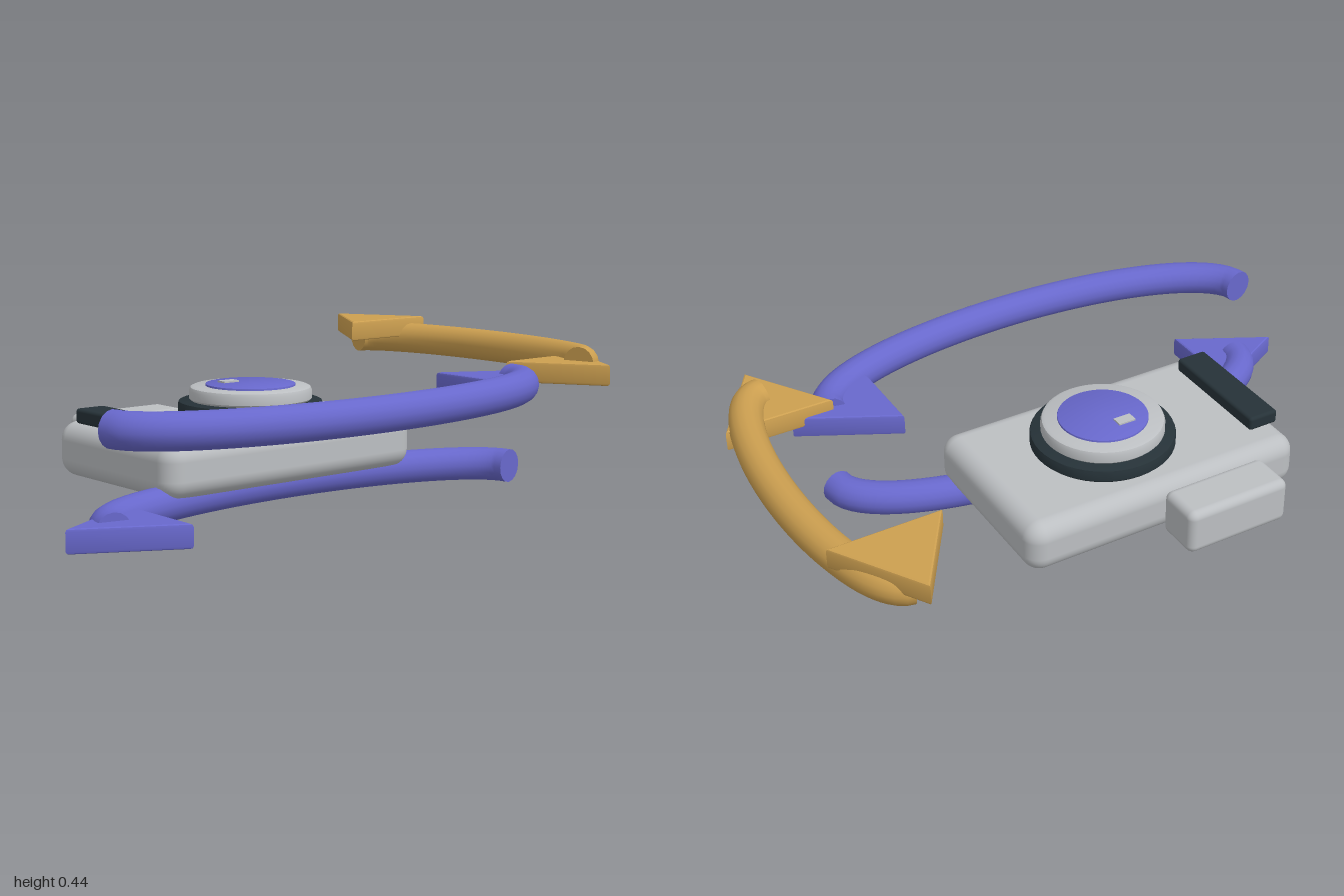
import * as THREE from 'three';
import { RoundedBoxGeometry } from 'three/addons/geometries/RoundedBoxGeometry.js';
import { toCreasedNormals } from 'three/addons/utils/BufferGeometryUtils.js';

const material = (name, color) => {
  const m = new THREE.MeshStandardMaterial({ color });
  m.name = name;
  return m;
};

export function createModel() {
  const silver = material('silver grey', 0xbcbfc2);
  const dark = material('dark slate', 0x263238);
  const violet = material('violet', 0x6868cc);
  const gold = material('gold', 0xcc9f50);
  const model = new THREE.Group();
  model.name = 'cameraWithRotationArrows';

  const add = (name, geometry, mat, parent = model) => {
    const mesh = new THREE.Mesh(geometry, mat);
    mesh.name = name;
    parent.add(mesh);
    return mesh;
  };

  // Rounded box given by its extents on each axis
  const box = (name, [x0, x1], [y0, y1], [z0, z1], radius, mat) =>
    add(name, new RoundedBoxGeometry(x1 - x0, y1 - y0, z1 - z0, 5, radius), mat)
      .position.set((x0 + x1) / 2, (y0 + y1) / 2, (z0 + z1) / 2);

  // Camera lying on its back
  box('cameraBody', [-0.58, 0.35], [0.065, 0.23], [-0.37, 0.21], 0.055, silver);
  box('viewfinderHousing', [-0.435, -0.09], [0.075, 0.22], [-0.52, -0.372], 0.025, silver);
  box('gripStrip', [-0.57, -0.47], [0.232, 0.277], [-0.27, 0.13], 0.01, dark);

  // Lens, stacked from bevelled discs
  const lens = new THREE.Group();
  lens.name = 'lens';
  lens.position.set(-0.06, 0, -0.083);
  model.add(lens);
  const disc = (name, r, y0, y1, bevel, mat) => {
    const profile = [
      [0, y0], [r - bevel, y0], [r, y0 + bevel], [r, y1 - bevel],
      [r - bevel * 0.3, y1 - bevel * 0.3], [r - bevel, y1], [0, y1],
    ].map(([x, y]) => new THREE.Vector2(x, y));
    add(name, toCreasedNormals(new THREE.LatheGeometry(profile, 48), 0.6), mat, lens);
  };
  disc('lensOuterRing', 0.22, 0.234, 0.278, 0.008, dark);
  disc('lensBarrel', 0.187, 0.27, 0.322, 0.014, silver);
  disc('lensGlass', 0.137, 0.32, 0.328, 0.002, violet);
  const glint = add('lensGlint', new THREE.BoxGeometry(0.056, 0.006, 0.034), silver, lens);
  glint.position.set(-0.04, 0.33, -0.058);

  // Half-ellipse tube in a horizontal plane with closed ends
  const arc = (name, [cx, cy, cz], rx, rz, start, mat, parent) => {
    const points = [];
    for (let i = 0; i <= 24; i++) {
      const a = start + (Math.PI * i) / 24;
      points.push(new THREE.Vector3(cx + rx * Math.cos(a), cy, cz + rz * Math.sin(a)));
    }
    const curve = new THREE.CatmullRomCurve3(points);
    const radius = 0.052;
    add(name, new THREE.TubeGeometry(curve, 64, radius, 16), mat, parent);
    for (const t of [0, 1]) {
      const cap = add(name + 'Cap', new THREE.CircleGeometry(radius, 16), mat, parent);
      const outward = curve.getTangent(t).multiplyScalar(t ? 1 : -1);
      cap.position.copy(curve.getPoint(t));
      cap.quaternion.setFromUnitVectors(new THREE.Vector3(0, 0, 1), outward);
    }
  };

  // Flat triangular arrowhead; corners are [x, z] pairs
  const head = (name, corners, y0, y1, mat, parent) => {
    const shape = new THREE.Shape(corners.map(([x, z]) => new THREE.Vector2(x, z)));
    const bevel = 0.008;
    const geometry = new THREE.ExtrudeGeometry(shape, {
      depth: y1 - y0 - 2 * bevel, bevelEnabled: true, bevelThickness: bevel,
      bevelSize: bevel, bevelOffset: -bevel, bevelSegments: 2,
    });
    geometry.rotateX(Math.PI / 2);
    geometry.translate(0, y1 - bevel, 0);
    add(name, toCreasedNormals(geometry, 0.5), mat, parent);
  };

  const arrow = (name) => {
    const group = new THREE.Group();
    group.name = name;
    model.add(group);
    return group;
  };

  // Upper violet arrow sweeps round the front, ending on the left
  const upper = arrow('upperArrow');
  arc('upperArrowShaft', [-0.11, 0.322, 0.345], 0.742, 0.255, 0, violet, upper);
  head('upperArrowHead', [[0.755, 0.345], [0.462, 0.5], [0.462, 0.19]], 0.278, 0.345, violet, upper);

  // Lower violet arrow passes under the body, ending on the right
  const lower = arrow('lowerArrow');
  arc('lowerArrowShaft', [-0.11, 0.052, 0.345], 0.742, 0.255, Math.PI, violet, lower);
  head('lowerArrowHead', [[-1, 0.345], [-0.71, 0.19], [-0.71, 0.5]], 0.013, 0.08, violet, lower);

  // Gold two-headed arrow beside the camera
  const side = arrow('sideArrow');
  arc('sideArrowShaft', [0.8, 0.372, -0.04], 0.143, 0.51, -Math.PI / 2, gold, side);
  head('sideArrowBackHead', [[0.8, -0.66], [0.965, -0.39], [0.628, -0.39]], 0.38, 0.445, gold, side);
  head('sideArrowFrontHead', [[0.8, 0.597], [0.628, 0.328], [0.965, 0.328]], 0.314, 0.38, gold, side);

  return model;
}
